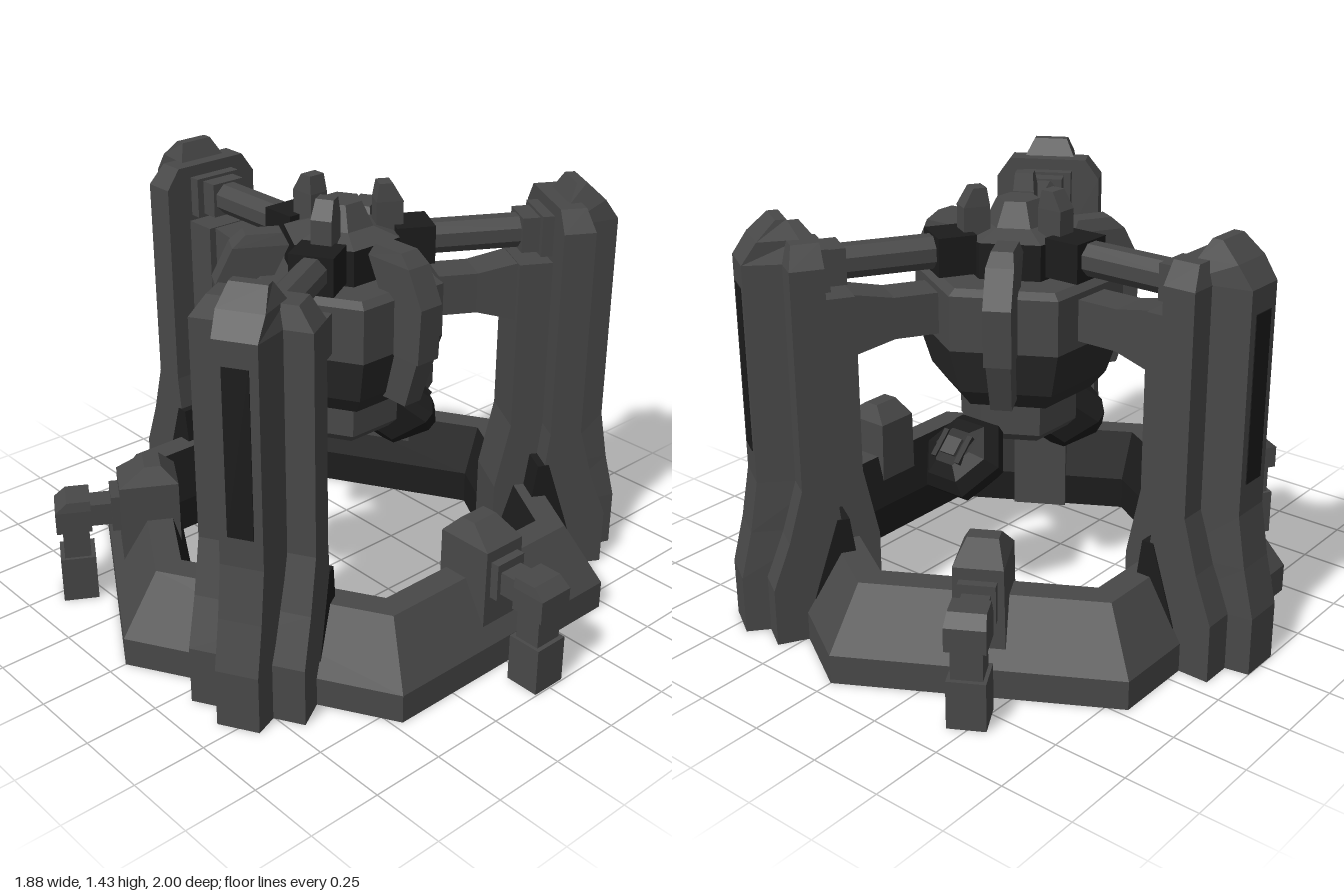
import * as THREE from 'three';

// Double-sided because the base ring is an open shell
function paint(name, color) {
  const material = new THREE.MeshStandardMaterial({ color, side: THREE.DoubleSide });
  material.name = name;
  return material;
}
const body = paint('dark grey metal', 0x484848);
const shade = paint('deep grey metal', 0x2a2a2a);
const black = paint('near black', 0x1c1c1c);

function add(parent, name, geometry, material = body) {
  const flat = geometry.index ? geometry.toNonIndexed() : geometry;
  flat.computeVertexNormals();
  const mesh = new THREE.Mesh(flat, material);
  mesh.name = name;
  parent.add(mesh);
  return mesh;
}

// Stack of trapezoid sections: [y, inner z, outer z, inner half width, outer half width]
function loft(rows) {
  const rings = rows.map(([y, z0, z1, h0, h1 = h0]) =>
    [[-h0, y, z0], [-h1, y, z1], [h1, y, z1], [h0, y, z0]]);
  const pos = [];
  const quad = (a, b, c, d) => [a, b, c, a, c, d].forEach((p) => pos.push(...p));
  for (let i = 0; i + 1 < rings.length; i++) {
    for (let j = 0; j < 4; j++) {
      const k = (j + 1) % 4;
      quad(rings[i][j], rings[i][k], rings[i + 1][k], rings[i + 1][j]);
    }
  }
  quad(...rings[rings.length - 1]);
  quad(...rings[0].slice().reverse());
  const g = new THREE.BufferGeometry();
  g.setAttribute('position', new THREE.Float32BufferAttribute(pos, 3));
  return g;
}

// Box given by its half width and its y and z ranges
function block(h, y0, y1, z0, z1) {
  return new THREE.BoxGeometry(2 * h, y1 - y0, z1 - z0).translate(0, (y0 + y1) / 2, (z0 + z1) / 2);
}

// Six-sided turned shape; by default with a flat side to the front
function hex(profile, start = Math.PI / 6) {
  return new THREE.LatheGeometry(profile.map(([r, y]) => new THREE.Vector2(r, y)), 6, start);
}

// Pillar with its two arms to the core, pointing along +z
function makePillar() {
  const g = new THREE.Group();
  g.name = 'pillar';
  add(g, 'pillarSlab', loft([
    [0, 0.66, 0.92, 0.19], [0.2, 0.66, 0.92, 0.19], [0.36, 0.68, 0.86, 0.19], [0.54, 0.7, 0.81, 0.19],
    [1.27, 0.7, 0.81, 0.19], [1.34, 0.7, 0.79, 0.14]]));
  add(g, 'pillarSpine', loft([
    [0, 0.72, 1.0, 0.12, 0.07], [0.2, 0.72, 1.0, 0.12, 0.07], [0.365, 0.72, 0.96, 0.12, 0.07],
    [0.54, 0.72, 0.93, 0.12, 0.07], [1.27, 0.72, 0.93, 0.12, 0.07],
    [1.34, 0.75, 0.88, 0.09, 0.075], [1.4, 0.78, 0.815, 0.06]]));
  add(g, 'pillarInnerRib', loft([
    [0, 0.535, 0.72, 0.1], [0.3, 0.535, 0.72, 0.1], [0.54, 0.585, 0.72, 0.1], [1.14, 0.585, 0.72, 0.1]]));
  add(g, 'pillarFootJoint', loft([
    [0.1, 0.63, 0.8, 0.194], [0.2, 0.63, 0.77, 0.194], [0.42, 0.66, 0.7, 0.194]]), black);
  add(g, 'slotPanel', block(0.042, 0.64, 1.19, 0.928, 0.933), black);

  // Lower bracket, flaring toward the pillar
  add(g, 'lowerArm', block(0.07, 0.97, 1.11, 0.2, 0.47));
  const flare = loft([[0.45, -1.11, -0.97, 0.07], [0.6, -1.14, -0.93, 0.075]]);
  add(g, 'lowerArmFlare', flare.rotateX(Math.PI / 2));

  // Upper strut with collars, eight-sided
  const strut = new THREE.CylinderGeometry(0.058, 0.058, 0.46, 8, 1, false, Math.PI / 8);
  add(g, 'upperStrut', strut.rotateX(Math.PI / 2).translate(0, 1.23, 0.42));
  add(g, 'strutCollar', block(0.065, 1.17, 1.29, 0.6, 0.66));
  add(g, 'strutMount', block(0.09, 1.16, 1.3, 0.66, 0.71));
  add(g, 'strutRoot', block(0.075, 1.16, 1.29, 0.17, 0.3), black);
  add(g, 'topPost', loft([
    [1.2, 0.11, 0.2, 0.035], [1.37, 0.11, 0.2, 0.035], [1.43, 0.12, 0.165, 0.03]]));
  return g;
}

// Ring housing with its hanging foot, pointing along +z
function makeOutrigger() {
  const g = new THREE.Group();
  g.name = 'outrigger';
  add(g, 'housing', loft([
    [0.15, 0.58, 0.78, 0.085], [0.43, 0.58, 0.78, 0.08], [0.49, 0.635, 0.69, 0.05]]));
  add(g, 'footLink', block(0.045, 0.28, 0.36, 0.76, 0.9));
  add(g, 'linkCollar', block(0.06, 0.26, 0.39, 0.77, 0.81));
  add(g, 'footHead', loft([
    [0.27, 0.88, 1.0, 0.065], [0.35, 0.88, 1.0, 0.065], [0.385, 0.88, 0.96, 0.06]]));
  add(g, 'footShank', block(0.05, 0.15, 0.28, 0.89, 0.98));
  add(g, 'footPad', block(0.062, 0, 0.165, 0.875, 0.995));
  return g;
}

// Clamp fin on the core, pointing along +z
function makeFin() {
  const g = new THREE.Group();
  g.name = 'clampFin';
  add(g, 'finBody', loft([
    [0.94, 0.24, 0.415, 0.045], [1.13, 0.24, 0.425, 0.045],
    [1.25, 0.18, 0.365, 0.045], [1.29, 0.2, 0.32, 0.035]]));
  add(g, 'finTip', loft([[0.77, 0.22, 0.35, 0.035], [0.94, 0.24, 0.405, 0.04]]));
  return g;
}

// Side pod, tilted outward and up
function makePod(side) {
  const g = new THREE.Group();
  g.name = side > 0 ? 'leftPod' : 'rightPod';
  add(g, 'podShell', hex([
    [0, -0.13], [0.06, -0.13], [0.15, -0.02], [0.155, 0.02], [0.12, 0.065], [0.07, 0.09], [0, 0.09]], 0), black);
  add(g, 'podLens', new THREE.BoxGeometry(0.06, 0.02, 0.06).translate(0, 0.092, 0));
  for (const s of [-1, 1]) {
    add(g, 'podRib', new THREE.BoxGeometry(0.1, 0.03, 0.02).translate(0, 0.082, 0.05 * s), shade);
  }
  g.position.set(0.28 * side, 0.545, 0);
  g.rotation.z = -side * Math.PI / 4;
  return g;
}

export function createModel() {
  const model = new THREE.Group();
  model.name = 'pillaredReactor';

  // Hexagonal base ring, an open shell with a dark inner wall
  add(model, 'baseRing', hex([[0.94, 0], [0.94, 0.1], [0.8, 0.3], [0.7, 0.3]]));
  add(model, 'ringInnerWall', hex([[0.7, 0.3], [0.64, 0.12], [0.64, 0]]), black);

  // Hanging core
  const core = new THREE.Group();
  core.name = 'core';
  add(core, 'coreNeck', hex([[0, 0.58], [0.17, 0.58], [0.2, 0.61], [0.2, 0.74]]));
  add(core, 'coreBowl', hex([[0, 0.73], [0.25, 0.73], [0.3, 0.79], [0.35, 0.945]]), shade);
  add(core, 'coreBlock', hex([[0.35, 0.945], [0.35, 1.13], [0.32, 1.15], [0, 1.15]]));
  add(core, 'coreTower', hex([[0.2, 1.14], [0.2, 1.27]]), black);
  add(core, 'coreCap', hex([[0.2, 1.27], [0.11, 1.3], [0.07, 1.38], [0, 1.38]]));
  model.add(core);

  // Three-fold parts: pillars and outriggers alternate around the ring
  for (let i = 0; i < 3; i++) {
    const turn = i * 2 * Math.PI / 3;
    const pillar = makePillar();
    pillar.rotation.y = Math.PI + turn;
    const outrigger = makeOutrigger();
    outrigger.rotation.y = turn;
    const fin = makeFin();
    fin.rotation.y = turn;
    model.add(pillar, outrigger, fin);
  }

  model.add(makePod(1), makePod(-1));
  return model;
}
